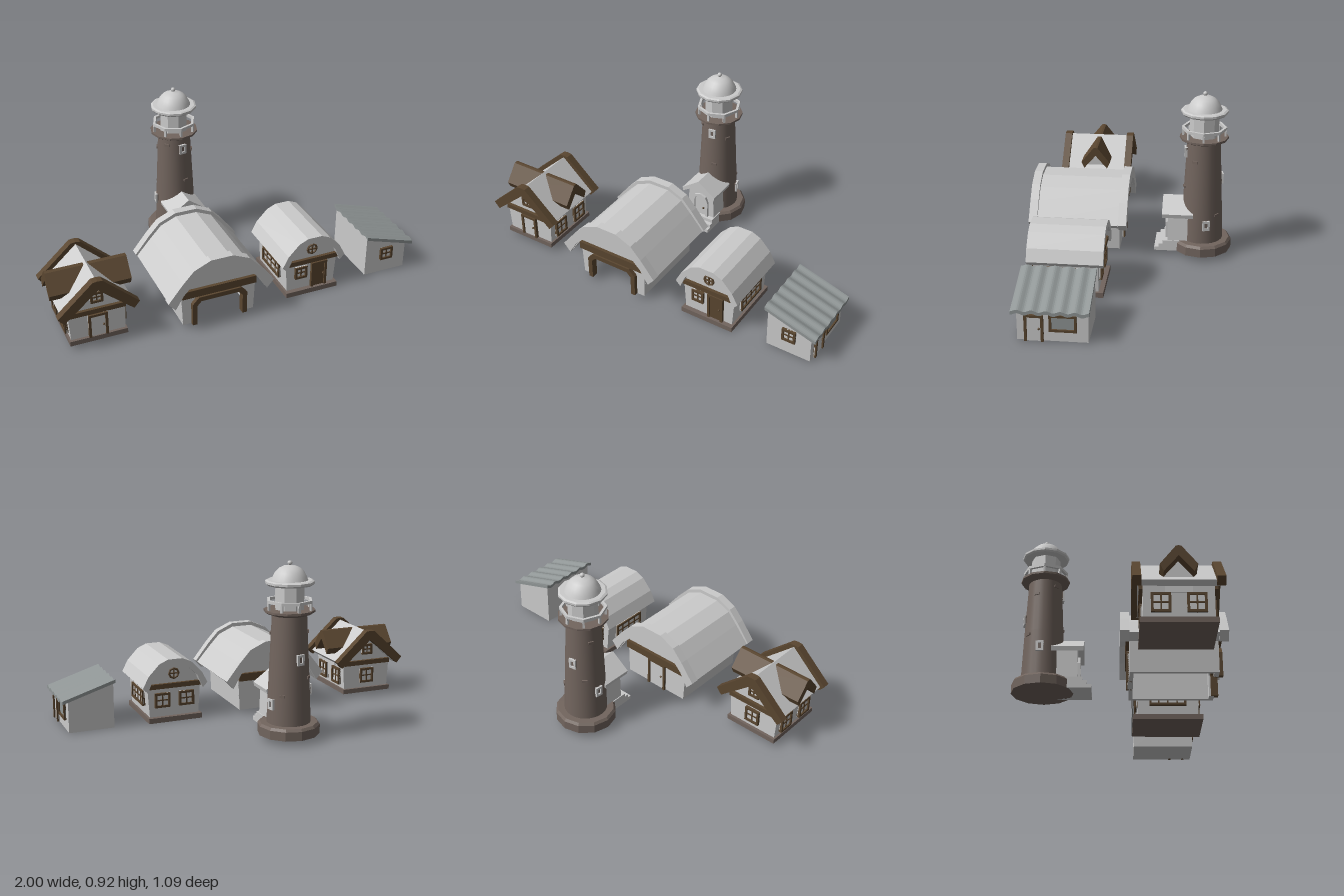
import * as THREE from 'three';

const mat = (color, flatShading = true) => new THREE.MeshStandardMaterial({ color, flatShading, side: THREE.DoubleSide });
const GREY = mat(0xcccccc), SMOOTH = mat(0xcccccc, false);
const BROWN = mat(0x5a4630), STONE = mat(0x72655e), STONE_SMOOTH = mat(0x72655e, false);
const SHEET = mat(0x909696);

function add(parent, name, geo, material, x = 0, y = 0, z = 0) {
  const m = new THREE.Mesh(geo, material);
  m.name = name;
  m.position.set(x, y, z);
  parent.add(m);
  return m;
}

function box(parent, name, material, w, h, d, x, y, z) {
  return add(parent, name, new THREE.BoxGeometry(w, h, d), material, x, y, z);
}

function group(parent, name, x = 0, y = 0, z = 0, rotY = 0) {
  const g = new THREE.Group();
  g.name = name;
  g.position.set(x, y, z);
  g.rotation.y = rotY;
  parent.add(g);
  return g;
}

// Polygon in x/y, extruded along z between z0 and z1
function prism(pts, z0, z1) {
  const shape = new THREE.Shape(pts.map(([x, y]) => new THREE.Vector2(x, y)));
  return new THREE.ExtrudeGeometry(shape, { depth: z1 - z0, bevelEnabled: false }).translate(0, 0, z0);
}

// Right half, listed bottom to top, completed with its mirror image
const mirrored = half => [...half, ...half.filter(p => p[0] !== 0).reverse().map(([x, y]) => [-x, y])];

// Symmetric arched strip between an outer and an inner half profile
const band = (outer, inner, z0, z1) => prism([...mirrored(outer), ...mirrored(inner).reverse()], z0, z1);

// Framed window facing +z before rotation
function addWindow(parent, x, y, z, rotY, w, h, cols = 2, rows = 2, frame = BROWN, glass = GREY) {
  const g = group(parent, 'window', x, y, z, rotY), t = 0.012;
  box(g, 'pane', glass, w, h, 0.008, 0, 0, 0);
  for (const s of [-1, 1]) {
    box(g, 'frameSide', frame, t, h, 0.024, s * (w - t) / 2, 0, 0);
    box(g, 'frameRail', frame, w, t, 0.024, 0, s * (h - t) / 2, 0);
  }
  for (let i = 1; i < cols; i++) box(g, 'muntin', frame, 0.007, h, 0.016, (i / cols - 0.5) * w, 0, 0);
  for (let i = 1; i < rows; i++) box(g, 'muntin', frame, w, 0.007, 0.016, 0, (i / rows - 0.5) * h, 0);
}

// Framed door standing on y, facing +z before rotation
function addDoor(parent, x, y, z, rotY, w, h, leaf = GREY) {
  const g = group(parent, 'door', x, y, z, rotY), t = 0.013;
  box(g, 'doorLeaf', leaf, w, h, 0.012, 0, h / 2, 0);
  for (const s of [-1, 1]) box(g, 'doorPost', BROWN, t, h, 0.028, s * (w - t) / 2, h / 2, 0);
  box(g, 'doorLintel', BROWN, w, t, 0.028, 0, h - t / 2, 0);
  add(g, 'doorKnob', new THREE.SphereGeometry(0.006, 8, 6), BROWN, w * 0.27, h * 0.48, 0.011);
}

function cottage(root) {
  const g = group(root, 'cottage', -0.79, 0, 0.272);
  box(g, 'baseSlab', STONE, 0.3, 0.026, 0.35, 0, 0.039, 0);
  add(g, 'walls', prism(mirrored([[0.14, 0.05], [0.15, 0.215], [0, 0.36]]), -0.16, 0.16), GREY);
  add(g, 'mainRoof', band([[0.185, 0.215], [0, 0.385]], [[0.165, 0.195], [0, 0.345]], -0.18, 0.18), GREY);
  for (const s of [-1, 1]) {
    add(g, 'bargeBoard', band([[0.208, 0.225], [0.025, 0.393], [0, 0.396]], [[0.178, 0.19], [0, 0.343]], s * 0.187 - 0.02, s * 0.187 + 0.02), BROWN);
    box(g, 'gableBeam', BROWN, 0.29, 0.026, 0.03, 0, 0.203, s * 0.162);
    addWindow(g, 0, 0.28, s * 0.163, s < 0 ? Math.PI : 0, 0.065, 0.06);
    for (const z of [-0.08, 0.08]) addWindow(g, s * 0.148, 0.12, z, s * Math.PI / 2, 0.09, 0.095);
  }
  // Cross gable over the two sides
  add(g, 'crossRoof', band([[0.085, 0.282], [0.012, 0.373], [0, 0.375]], [[0.068, 0.246], [0, 0.325]], -0.21, 0.21).rotateY(Math.PI / 2), BROWN);
  add(g, 'crossGableWall', prism(mirrored([[0.062, 0.17], [0.062, 0.26], [0, 0.33]]), -0.152, 0.152).rotateY(Math.PI / 2), GREY);
  addDoor(g, 0, 0.05, 0.163, 0, 0.1, 0.132);
  addWindow(g, 0, 0.125, -0.163, Math.PI, 0.085, 0.085);
}

function barn(root) {
  const g = group(root, 'barn', -0.17, 0, 0);
  const gable = [[0.205, 0.235], [0.14, 0.31], [0.055, 0.35]];
  // Front wall with the wide chamfered doorway cut from below
  add(g, 'frontWall', band([[0.195, 0.025], ...gable], [[0.13, 0.025], [0.13, 0.14], [0.105, 0.17]], 0.475, 0.5), GREY);
  add(g, 'backWall', prism(mirrored([[0.195, 0.025], ...gable]), 0.06, 0.08), GREY);
  for (const s of [-1, 1]) {
    add(g, 'sideWall', prism([[s * 0.195, 0.025], [s * 0.206, 0.25], [s * 0.185, 0.25], [s * 0.175, 0.025]], 0.065, 0.49), GREY);
  }
  add(g, 'doorwayFrame', band([[0.15, 0.025], [0.15, 0.15], [0.115, 0.187]], [[0.125, 0.025], [0.125, 0.138], [0.102, 0.162]], 0.485, 0.522), BROWN);
  addDoor(g, -0.01, 0.025, 0.06, Math.PI, 0.12, 0.165);
  for (const z of [0.055, 0.505]) box(g, 'gableBeam', BROWN, 0.405, 0.042, 0.026, 0, 0.213, z);
  add(g, 'roof', band([[0.28, 0.2], [0.2, 0.292], [0.143, 0.353], [0.058, 0.39]], [[0.243, 0.17], [0.198, 0.24], [0.135, 0.308], [0.05, 0.348]], 0.03, 0.53), GREY);
  for (const z of [0.015, 0.5]) {
    add(g, 'roofRim', band([[0.288, 0.207], [0.21, 0.305], [0.15, 0.37], [0.06, 0.41]], [[0.25, 0.163], [0.205, 0.238], [0.14, 0.305], [0.055, 0.346]], z, z + 0.045), GREY);
  }
}

function roundRoofHouse(root) {
  const g = group(root, 'roundRoofHouse', 0.387, 0, 0.277);
  box(g, 'baseSlab', STONE, 0.3, 0.028, 0.38, 0, 0.014, 0);
  add(g, 'walls', prism(mirrored([[0.138, 0.028], [0.15, 0.2], [0.122, 0.26], [0.08, 0.3], [0.035, 0.318]]), -0.165, 0.165), GREY);
  add(g, 'roof', band([[0.182, 0.2], [0.15, 0.262], [0.09, 0.325], [0.04, 0.347]], [[0.155, 0.172], [0.125, 0.245], [0.08, 0.29], [0.035, 0.312]], -0.195, 0.195), GREY);
  for (const s of [-1, 1]) {
    box(g, 'gableBeam', BROWN, 0.3, 0.026, 0.03, 0, 0.198, s * 0.167);
    // Round attic window
    const r = group(g, 'roundWindow', 0, 0.262, s * 0.168);
    add(r, 'ring', new THREE.TorusGeometry(0.027, 0.006, 6, 8), BROWN);
    box(r, 'muntin', BROWN, 0.054, 0.006, 0.01, 0, 0, 0);
    box(r, 'muntin', BROWN, 0.006, 0.054, 0.01, 0, 0, 0);
    addWindow(g, s * 0.147, 0.12, 0, s * Math.PI / 2, 0.2, 0.085, 4, 2);
  }
  addWindow(g, -0.062, 0.132, 0.168, 0, 0.07, 0.07);
  addDoor(g, 0.043, 0.028, 0.168, 0, 0.09, 0.15, BROWN);
  for (const x of [-0.068, 0.068]) addWindow(g, x, 0.12, -0.168, Math.PI, 0.085, 0.08);
}

function shed(root) {
  const g = group(root, 'shed');
  add(g, 'walls', prism([[0.725, 0.003], [0.968, 0.003], [0.968, 0.168], [0.725, 0.248]], 0.1, 0.44), GREY);
  // Corrugated sheet: waves along z, sloping down towards +x
  const geo = new THREE.BoxGeometry(0.284, 0.018, 0.372, 1, 1, 48);
  const p = geo.attributes.position;
  for (let i = 0; i < p.count; i++) {
    p.setY(i, p.getY(i) - p.getX(i) * 0.31 + 0.005 * Math.sin(p.getZ(i) * 92));
  }
  geo.computeVertexNormals();
  add(g, 'corrugatedRoof', geo, SHEET, 0.857, 0.209, 0.277);
  addWindow(g, 0.848, 0.12, 0.442, 0, 0.075, 0.072);
  addDoor(g, 0.968, 0.003, 0.358, Math.PI / 2, 0.092, 0.14);
  addWindow(g, 0.968, 0.102, 0.22, Math.PI / 2, 0.132, 0.088, 1, 1, BROWN, SHEET);
}

function lighthouse(root) {
  const g = group(root, 'lighthouse', -0.062, 0, -0.384);
  const lathe = (name, pts, n, m) => add(g, name, new THREE.LatheGeometry(pts.map(([r, y]) => new THREE.Vector2(r, y)), n), m);
  lathe('foundation', [[0, 0.028], [0.161, 0.028], [0.161, 0.075], [0.15, 0.088], [0, 0.092]], 12, STONE);
  lathe('tower', [[0.114, 0.085], [0.103, 0.35], [0.088, 0.66]], 24, STONE_SMOOTH);
  lathe('galleryFloor', [[0, 0.645], [0.09, 0.645], [0.122, 0.657], [0.13, 0.662], [0.13, 0.673], [0, 0.677]], 12, STONE);
  lathe('lanternRoom', [[0.077, 0.675], [0.077, 0.805]], 8, GREY);
  lathe('roofRim', [[0, 0.798], [0.118, 0.798], [0.125, 0.806], [0.125, 0.817], [0.115, 0.822], [0, 0.824]], 12, GREY);
  lathe('dome', [[0.093, 0.82], [0.086, 0.838], [0.073, 0.862], [0.055, 0.88], [0.033, 0.891], [0, 0.897]], 24, SMOOTH);
  add(g, 'finial', new THREE.SphereGeometry(0.012, 12, 8), SMOOTH, 0, 0.907, 0);
  // Gallery railing
  lathe('handrail', [[0.106, 0.709], [0.12, 0.709], [0.12, 0.724], [0.106, 0.724], [0.106, 0.709]], 8, GREY);
  for (let i = 0; i < 8; i++) {
    const a = i * Math.PI / 4;
    box(g, 'railPost', GREY, 0.012, 0.04, 0.012, 0.112 * Math.sin(a), 0.692, 0.112 * Math.cos(a)).rotation.y = a;
  }
  // Items set on the tapering wall by angle from the front and height
  const radius = y => 0.117 - 0.046 * y;
  for (const [a, y] of [[0.15, 0.585], [1.8, 0.195], [3.3, 0.43], [4.6, 0.25]]) {
    const r = radius(y);
    addWindow(g, r * Math.sin(a), y, r * Math.cos(a), a, 0.04, 0.055, 1, 1, GREY, STONE);
  }
  for (const [a, y] of [[1.1, 0.55], [2.4, 0.245], [0.3, 0.39], [-0.8, 0.61], [3.9, 0.33], [4.3, 0.56]]) {
    const r = radius(y);
    box(g, 'looseBrick', STONE, 0.028, 0.014, 0.014, r * Math.sin(a), y, r * Math.cos(a)).rotation.y = a;
  }
  // Entrance porch with gabled roof and arched doorway
  const porch = group(g, 'porch');
  add(porch, 'porchWalls', prism(mirrored([[0.088, 0.028], [0.078, 0.24], [0, 0.3]]), 0.04, 0.182), GREY);
  add(porch, 'porchRoof', band([[0.105, 0.25], [0, 0.325]], [[0.1, 0.228], [0, 0.295]], 0.045, 0.213), GREY);
  const arch = r => [[r, 0.075], [r, 0.18], [r * 0.7, 0.18 + r * 0.7], [0, 0.18 + r]];
  add(porch, 'archFrame', band(arch(0.05), arch(0.036), 0.175, 0.196), GREY);
  add(porch, 'archDoor', prism(mirrored(arch(0.036)), 0.178, 0.186), GREY);
  add(porch, 'doorKnob', new THREE.SphereGeometry(0.006, 8, 6), BROWN, 0.02, 0.135, 0.189);
  for (let i = 0; i < 3; i++) {
    box(porch, 'step', GREY, 0.18, 0.02 * (i + 1), 0.1, 0, 0.028 + 0.01 * (i + 1), 0.204 - i * 0.023);
  }
}

export function createModel() {
  const root = new THREE.Group();
  root.name = 'village';
  cottage(root);
  barn(root);
  roundRoofHouse(root);
  shed(root);
  lighthouse(root);
  return root;
}
